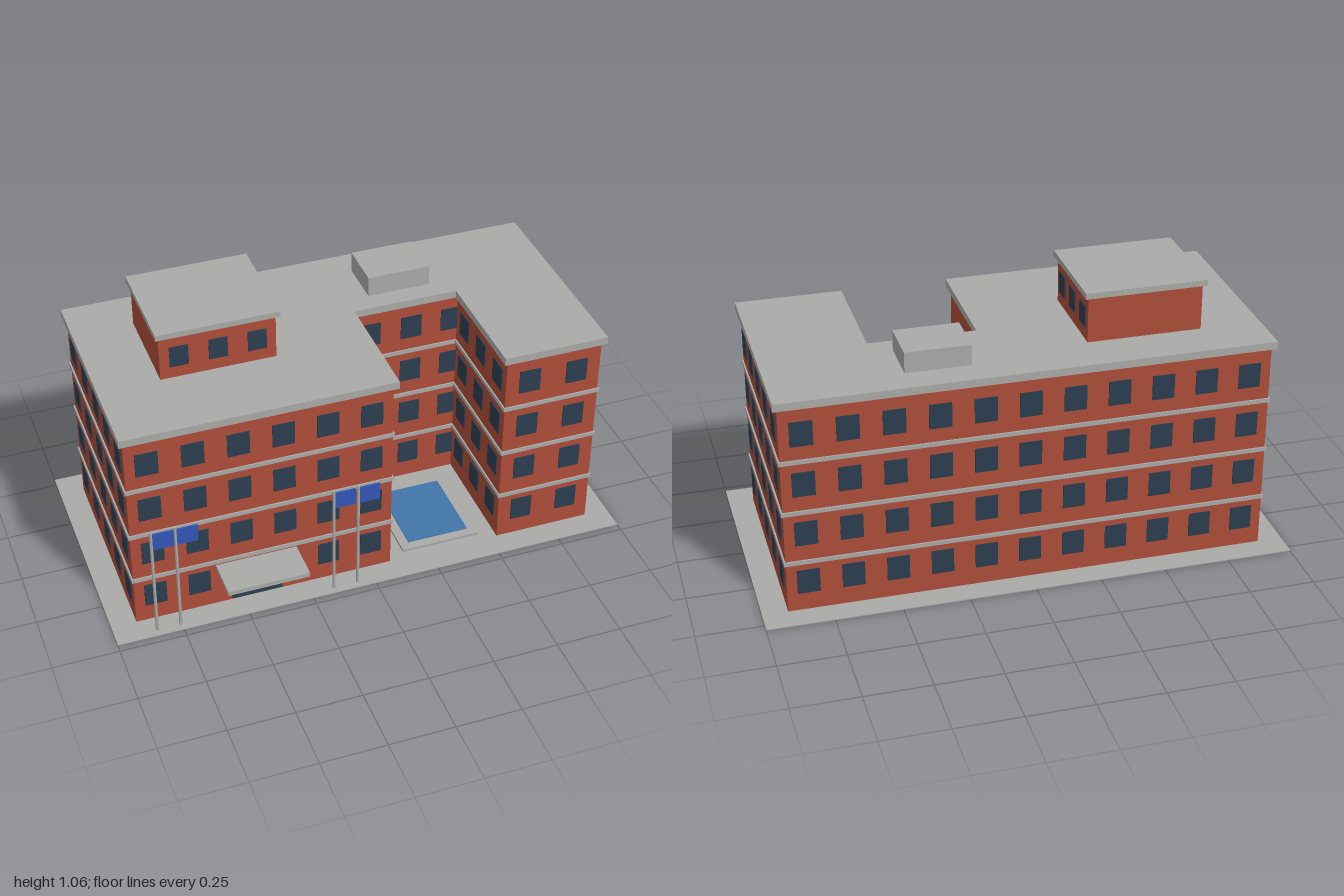
import * as THREE from 'three';

const mat = (name, color) => {
  const m = new THREE.MeshStandardMaterial({ color });
  m.name = name;
  return m;
};

export function createModel() {
  const brick = mat('brick', 0xae4d39);
  const concrete = mat('concrete', 0xaaaaa8);
  const glass = mat('glass', 0x2c3e50);
  const flagBlue = mat('flagBlue', 0x3355b8);
  const water = mat('water', 0x4275a8);

  const model = new THREE.Group();
  model.name = 'building';

  const add = (name, geometry, material, parent = model) => {
    const m = new THREE.Mesh(geometry, material);
    m.name = name;
    parent.add(m);
    return m;
  };
  // Box given by its extents on each axis
  const box = (name, material, [x0, x1], [y0, y1], [z0, z1], parent) => {
    const g = new THREE.BoxGeometry(x1 - x0, y1 - y0, z1 - z0);
    g.translate((x0 + x1) / 2, (y0 + y1) / 2, (z0 + z1) / 2);
    return add(name, g, material, parent);
  };

  // Main footprint: a U with the courtyard open to the front
  const X = 0.905, BACK = -0.437, FRONT = 0.375;
  const CL = 0.09, CR = 0.53, CB = -0.093;
  const footprint = (name, material, y0, y1, o) => {
    const pts = [
      [-X - o, BACK - o], [X + o, BACK - o], [X + o, FRONT + o], [CR - o, FRONT + o],
      [CR - o, CB + o], [CL + o, CB + o], [CL + o, FRONT + o], [-X - o, FRONT + o],
    ];
    const shape = new THREE.Shape(pts.map(([x, z]) => new THREE.Vector2(x, -z)));
    const g = new THREE.ExtrudeGeometry(shape, { depth: y1 - y0, bevelEnabled: false });
    g.rotateX(-Math.PI / 2);
    g.translate(0, y0, 0);
    return add(name, g, material);
  };

  box('ground', concrete, [-1, 1], [0, 0.004], [-0.53, 0.47]);
  footprint('walls', brick, 0.003, 0.83, 0);
  footprint('roof', concrete, 0.828, 0.858, 0.016);
  for (const y of [0.205, 0.41, 0.615]) footprint('floorBand', concrete, y - 0.008, y + 0.008, 0.006);

  // Windows: thin plates on a wall plane, facing along x or z
  const windows = new THREE.Group();
  windows.name = 'windows';
  model.add(windows);
  const T = 0.004;
  const row = (axis, plane, centres, y, w = 0.083, h = 0.096) => {
    for (const c of centres) {
      const g = axis === 'x' ? new THREE.BoxGeometry(T, h, w) : new THREE.BoxGeometry(w, h, T);
      const m = add('window', g, glass, windows);
      if (axis === 'x') m.position.set(plane, y, c);
      else m.position.set(c, y, plane);
    }
  };
  const spread = (n, first, step) => Array.from({ length: n }, (_, i) => first + i * step);

  const wingZ = [0.298, 0.142, -0.014];
  const sideZ = [...wingZ, -0.179, -0.349];
  for (let f = 0; f < 4; f++) {
    const y = 0.123 + f * 0.2007;
    row('z', FRONT + T / 2, spread(6, -0.825, 0.1667), y);
    row('z', FRONT + T / 2, [0.624, 0.811], y);
    row('z', CB + T / 2, [0.175, 0.341, 0.504], y);
    row('z', BACK - T / 2, spread(11, -0.825, 0.165), y);
    row('x', X + T / 2, sideZ, y);
    row('x', -X - T / 2, sideZ, y);
    row('x', CR - T / 2, wingZ, y);
  }

  // Rooftop penthouse and plant box
  box('penthouseWalls', brick, [-0.689, -0.256], [0.85, 1.036], [-0.278, 0.095]);
  box('penthouseRoof', concrete, [-0.702, -0.242], [1.035, 1.058], [-0.292, 0.109]);
  row('z', 0.095 + T / 2, [-0.617, -0.472, -0.327], 0.947, 0.07, 0.083);
  row('x', -0.256 + T / 2, [0.033, -0.092, -0.218], 0.947, 0.07, 0.083);
  box('plantBox', concrete, [0.19, 0.435], [0.85, 0.938], [-0.342, -0.156]);

  // Entrance
  box('door', glass, [-0.537, -0.344], [0.012, 0.166], [0.375, 0.383]);
  box('canopy', concrete, [-0.594, -0.283], [0.17, 0.188], [0.37, 0.53]);

  // Courtyard pool
  box('poolRim', concrete, [0.155, 0.465], [0.003, 0.015], [-0.032, 0.345]);
  box('poolWater', water, [0.19, 0.433], [0.012, 0.018], [0.003, 0.31]);

  // Flagpoles with flags flying to +x
  for (const x of [-0.843, -0.754, -0.159, -0.065]) {
    const pole = add('flagpole', new THREE.CylinderGeometry(0.006, 0.006, 0.466, 8), concrete);
    pole.position.set(x, 0.236, 0.44);
    box('flag', flagBlue, [x + 0.004, x + 0.083], [0.388, 0.459], [0.437, 0.443]);
  }

  return model;
}
